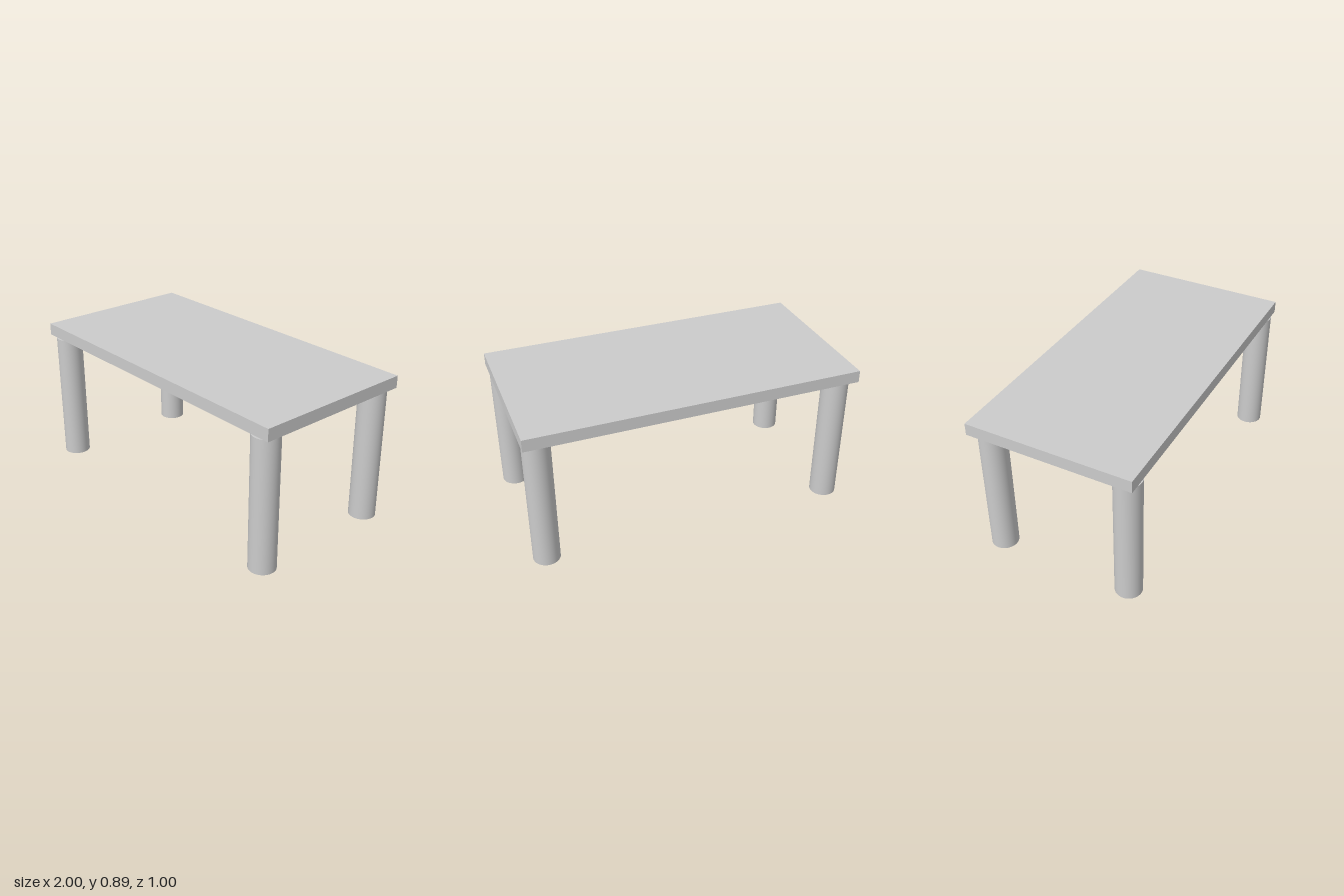
import * as THREE from 'three';

export function createModel() {
  const group = new THREE.Group();
  group.name = 'table';
  const material = new THREE.MeshStandardMaterial({ color: 0xcccccc });

  // Flat slab, floating just above the legs
  const top = new THREE.Mesh(new THREE.BoxGeometry(2, 0.073, 1), material);
  top.name = 'tableTop';
  top.position.set(0, 0.8535, -0.002);
  group.add(top);

  // Four round legs, set slightly off centre under the slab
  const legHeight = 0.81;
  const legGeometry = new THREE.CylinderGeometry(0.08, 0.08, legHeight, 48);
  for (const [zName, z] of [['front', 0.422], ['back', -0.406]]) {
    for (const [xName, x] of [['Left', 0.911], ['Right', -0.901]]) {
      const leg = new THREE.Mesh(legGeometry, material);
      leg.name = `${zName}${xName}Leg`;
      leg.position.set(x, legHeight / 2, z);
      group.add(leg);
    }
  }
  return group;
}
